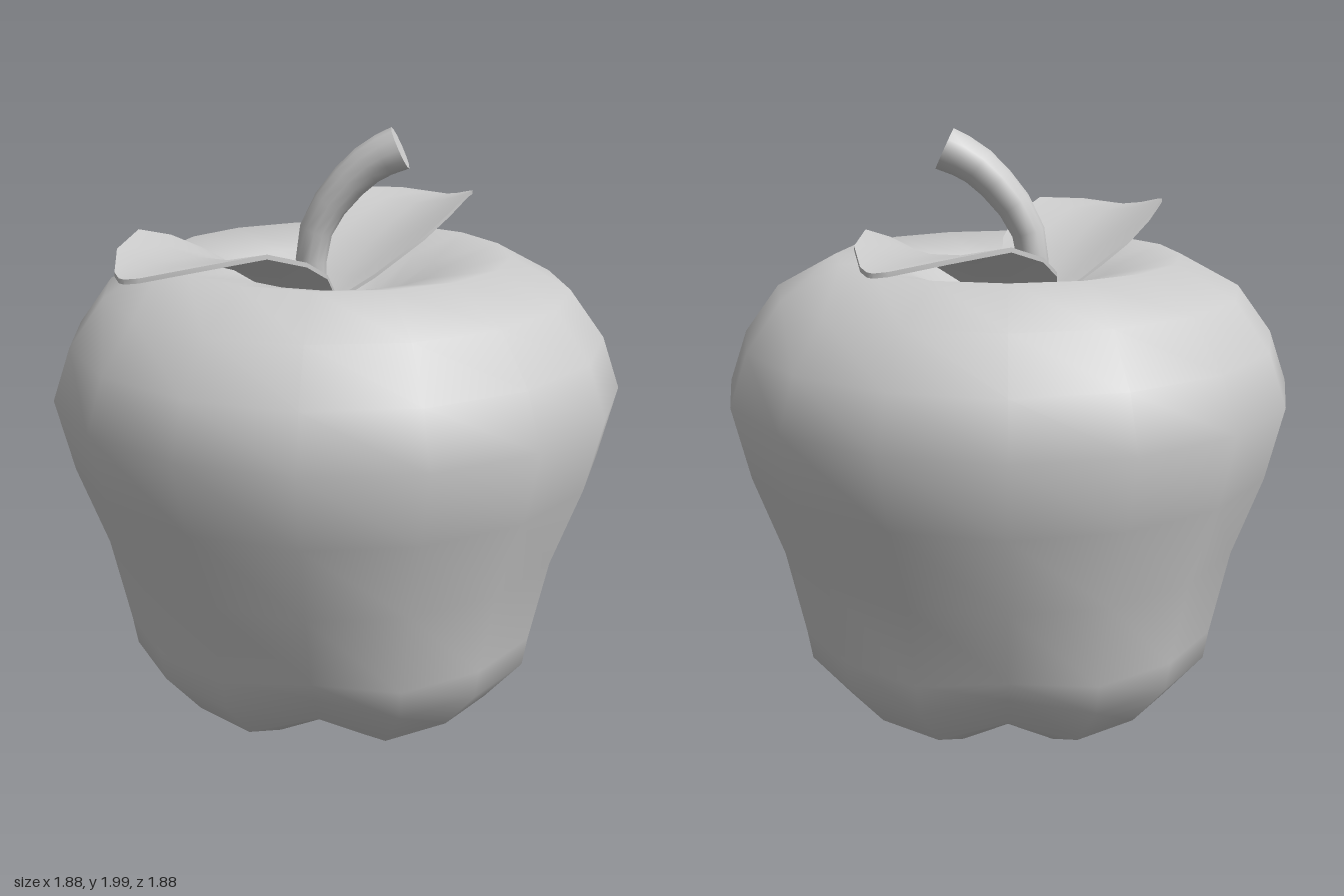
import * as THREE from 'three';
import { mergeVertices, toCreasedNormals } from 'three/addons/utils/BufferGeometryUtils.js';

const material = new THREE.MeshStandardMaterial({ color: 0xcccccc, side: THREE.DoubleSide });

function part(name, geometry) {
  const mesh = new THREE.Mesh(geometry, material);
  mesh.name = name;
  return mesh;
}

// Skin a list of equal-length rings (arrays of Vector3) and cap both ends
function loft(rings, crease) {
  const n = rings[0].length, last = (rings.length - 1) * n, index = [];
  for (let i = 0; i < rings.length - 1; i++) {
    for (let j = 0; j < n; j++) {
      const a = i * n + j, b = i * n + (j + 1) % n;
      index.push(a, b, b + n, a, b + n, a + n);
    }
  }
  for (let j = 1; j < n - 1; j++) {
    index.push(0, j + 1, j, last, last + j, last + j + 1);
  }
  const g = new THREE.BufferGeometry().setFromPoints(rings.flat());
  g.setIndex(index);
  return toCreasedNormals(g, crease);
}

// Fruit: 16-sided lathe, with four grooves pressed into the lower part
function fruitGeometry() {
  // radius, height, groove radius, groove height
  const profile = [
    [0, 0.13], [0.2, 0.07, 0.18, 0.09], [0.39, 0, 0.34, 0.045], [0.585, 0.1, 0.5, 0.14],
    [0.714, 0.26, 0.61, 0.28], [0.73, 0.36, 0.675, 0.37], [0.79, 0.65], [0.885, 0.92],
    [0.94, 1.16], [0.88, 1.33], [0.765, 1.485], [0.57, 1.59], [0.34, 1.54], [0.17, 1.44], [0, 1.37],
  ];
  const points = profile.map(([r, y]) => new THREE.Vector2(r, y));
  const lathe = new THREE.LatheGeometry(points, 16);
  const pos = lathe.attributes.position;
  for (let i = 0; i < pos.count; i++) {
    const segment = Math.floor(i / points.length);
    const [r, , grooveR, grooveY] = profile[i % points.length];
    if (segment % 4 === 0 && grooveR) {
      pos.setXYZ(i, pos.getX(i) * grooveR / r, grooveY, pos.getZ(i) * grooveR / r);
    }
  }
  lathe.deleteAttribute('uv');
  lathe.deleteAttribute('normal');
  const g = mergeVertices(lathe, 1e-4);
  g.computeVertexNormals();
  return g;
}

// Stem: bent round rod that thickens towards its tip
function stemGeometry() {
  const curve = new THREE.CatmullRomCurve3([
    [-0.065, 1.34], [-0.085, 1.52], [-0.06, 1.68], [0.03, 1.81], [0.12, 1.89], [0.205, 1.93],
  ].map(([x, y]) => new THREE.Vector3(x, y, 0)));
  const rings = [], steps = 8, sides = 12;
  for (let i = 0; i <= steps; i++) {
    const c = curve.getPoint(i / steps), t = curve.getTangent(i / steps);
    const r = 0.045 + 0.026 * i / steps;
    rings.push(Array.from({ length: sides }, (_, j) => {
      const a = j / sides * Math.PI * 2, k = r * Math.cos(a);
      return new THREE.Vector3(c.x - t.y * k, c.y + t.x * k, r * Math.sin(a));
    }));
  }
  return loft(rings, 0.9);
}

// Leaf: thin cupped blade, arching out from the stem
function leafGeometry() {
  // distance along the leaf, midrib height, outer width, inner width
  const rows = [
    [0, 1.4, 0.02, 0.02], [0.07, 1.43, 0.05, 0.1], [0.15, 1.48, 0.13, 0.185],
    [0.295, 1.56, 0.233, 0.255], [0.43, 1.615, 0.25, 0.278], [0.597, 1.67, 0.226, 0.264],
    [0.775, 1.68, 0.142, 0.168], [0.886, 1.665, 0.045, 0.046], [0.906, 1.66, 0.01, 0.01],
  ];
  const thickness = 0.014;
  const rings = rows.map(([t, y, outer, inner]) => {
    const top = [-inner, -inner / 2, 0, outer / 2, outer].map((s) => new THREE.Vector3(
      -0.48 * t - 0.877 * s,
      y + 0.8 * s * s + 0.07 * s,
      0.877 * t - 0.48 * s,
    ));
    const bottom = top.map((p) => new THREE.Vector3(p.x, p.y - thickness, p.z)).reverse();
    return [...top, ...bottom];
  });
  return loft(rings, 0.8);
}

export function createModel() {
  const model = new THREE.Group();
  model.name = 'apple';
  model.add(part('fruit', fruitGeometry()), part('stem', stemGeometry()));

  // Two equal leaves, half a turn apart around the stem
  const leaf = leafGeometry();
  ['frontLeaf', 'backLeaf'].forEach((name, i) => {
    const mesh = part(name, leaf);
    mesh.position.set(-0.065, 0, -0.015);
    mesh.rotation.y = i * Math.PI;
    model.add(mesh);
  });
  return model;
}
